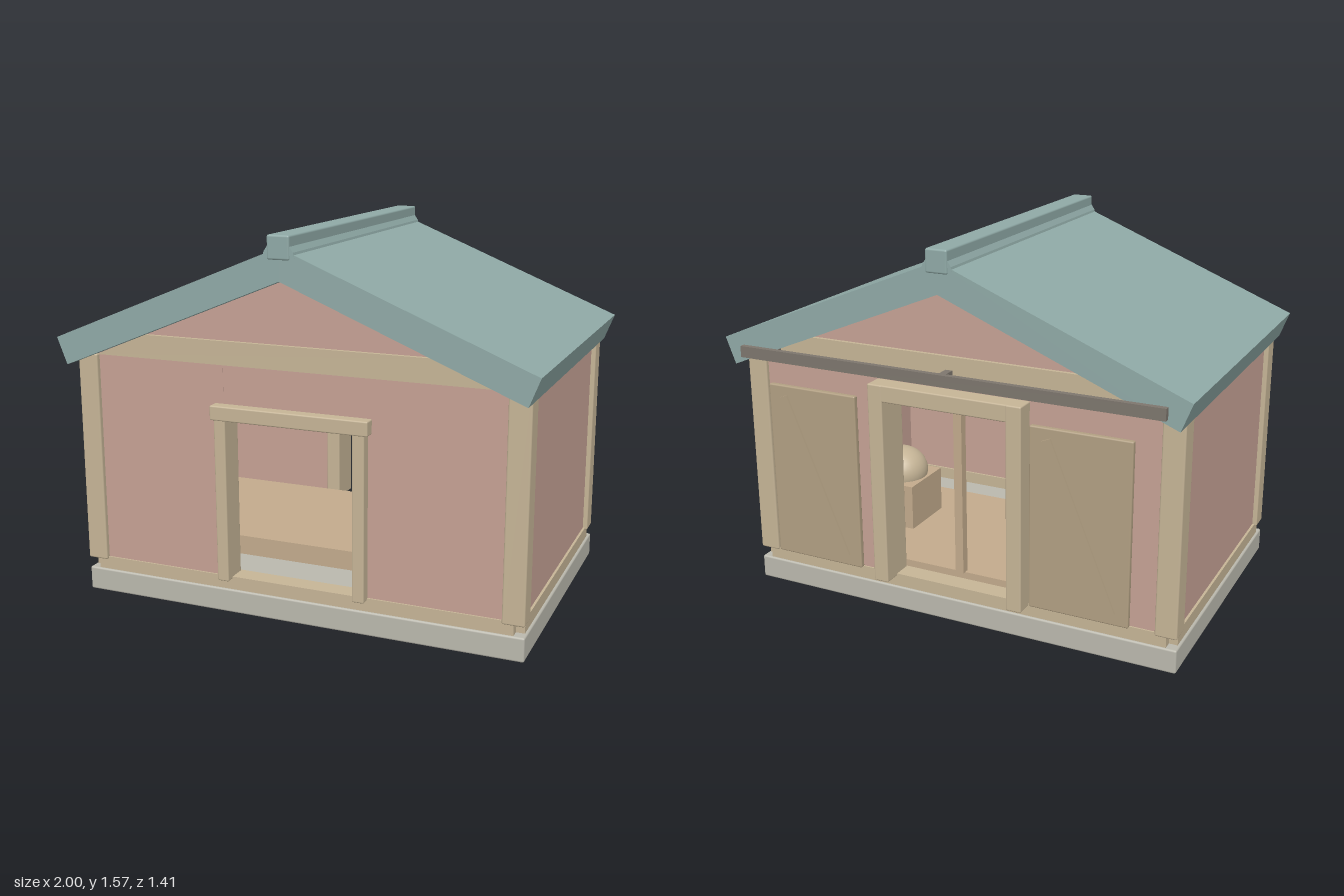
import * as THREE from 'three';
import { RoundedBoxGeometry } from 'three/addons/geometries/RoundedBoxGeometry.js';

const mat = (name, color) => Object.assign(new THREE.MeshStandardMaterial({ color }), { name });

export function createModel() {
  const model = new THREE.Group();
  model.name = 'shed';
  const roofTeal = mat('roofTeal', 0x8fa9a6);
  const wallPink = mat('wallPink', 0xc5a194);
  const trimTan = mat('trimTan', 0xc5b496);
  const floorTan = mat('floorTan', 0xc2aa8c);
  const doorTan = mat('doorTan', 0xb19f82);
  const stone = mat('stone', 0xbab8ad);
  const railGrey = mat('railGrey', 0x7d766d);

  function add(name, geometry, material, parent = model) {
    const mesh = new THREE.Mesh(geometry, material);
    mesh.name = name;
    parent.add(mesh);
    return mesh;
  }

  // Box given by its extents; a radius above zero softens the edges
  function box(name, material, x0, x1, y0, y1, z0, z1, radius = 0, parent = model) {
    const size = [x1 - x0, y1 - y0, z1 - z0];
    const geometry = radius ? new RoundedBoxGeometry(...size, 2, radius) : new THREE.BoxGeometry(...size);
    const mesh = add(name, geometry, material, parent);
    mesh.position.set((x0 + x1) / 2, (y0 + y1) / 2, (z0 + z1) / 2);
    return mesh;
  }

  // Outline in x and y, extruded between two depths
  function slab(name, material, points, z0, z1) {
    const shape = new THREE.Shape(points.map(([x, y]) => new THREE.Vector2(x, y)));
    const mesh = add(name, new THREE.ExtrudeGeometry(shape, { depth: z1 - z0, bevelEnabled: false }), material);
    mesh.position.z = z0;
    return mesh;
  }

  // Underside of the roof at a given x
  const under = (x) => 1.395 - 0.408 * Math.abs(x);

  // Foundation, sills and raised floor
  box('foundation', stone, -0.955, 0.955, 0, 0.1, -0.605, 0.62, 0.008);
  box('frontSill', trimTan, -0.91, 0.91, 0.1, 0.155, 0.53, 0.612);
  box('backSill', trimTan, -0.91, 0.91, 0.1, 0.155, -0.597, -0.515);
  box('floorPlatform', floorTan, -0.86, 0.86, 0.1, 0.185, -0.515, 0.24);

  for (const s of [-1, 1]) {
    const side = (name, m, a, b, ...rest) => box(name, m, Math.min(s * a, s * b), Math.max(s * a, s * b), ...rest);

    // Side walls, sills and corner posts
    side('sideSill', trimTan, 0.86, 0.945, 0.1, 0.155, -0.56, 0.575);
    side('sideWall', wallPink, 0.865, 0.935, 0.155, under(0.935) + 0.02, -0.56, 0.575);
    side('frontCornerPost', trimTan, 0.865, 0.955, 0.145, 1.04, 0.535, 0.625, 0.007);
    side('backCornerPost', trimTan, 0.865, 0.955, 0.145, 1.04, -0.607, -0.515, 0.007);

    // Front and back wall panels beside the openings
    side('frontWallPanel', wallPink, 0.295, 0.9, 0.155, 1.045, 0.54, 0.605);
    side('backWallPanel', wallPink, 0.295, 0.9, 0.155, 1.045, -0.59, -0.525);

    // Door frames
    side('frontJamb', trimTan, 0.27, 0.32, 0.145, 0.83, 0.535, 0.648, 0.006);
    side('backJamb', trimTan, 0.27, 0.335, 0.145, 1.0, -0.67, -0.515, 0.006);

    // Sliding door with its diagonal brace
    const door = new THREE.Group();
    door.name = 'slidingDoor';
    door.position.set(s * 0.585, 0.572, -0.682);
    model.add(door);
    box('doorPanel', doorTan, -0.205, 0.205, -0.372, 0.373, -0.012, 0.012, 0.006, door);
    const brace = box('doorBrace', doorTan, -0.02, 0.02, -0.355, 0.355, -0.022, -0.01, 0, door);
    brace.rotation.z = -0.39;
  }

  // Lintels, wall above the front opening and the centre pole
  box('frontHeaderPanel', wallPink, -0.295, 0.295, 0.85, 1.045, 0.54, 0.604);
  box('frontLintel', trimTan, -0.335, 0.335, 0.82, 0.88, 0.535, 0.652, 0.006);
  box('backLintel', trimTan, -0.335, 0.335, 0.93, 1.0, -0.668, -0.515, 0.006);
  box('backHeaderPanel', wallPink, -0.295, 0.295, 0.98, 1.045, -0.59, -0.525);
  box('centrePole', floorTan, -0.018, 0.018, 0.195, 0.94, -0.548, -0.512);

  // Gables with their tie beams, one for each end
  const gable = [[-0.9, 1.03], [0.9, 1.03], [0, under(0) + 0.01]];
  const beam = [[-0.865, 1.04], [0.865, 1.04], [0.635, 1.136], [-0.635, 1.136]];
  slab('frontGable', wallPink, gable, 0.54, 0.605);
  slab('backGable', wallPink, gable, -0.59, -0.525);
  slab('frontTieBeam', trimTan, beam, 0.53, 0.622);
  slab('backTieBeam', trimTan, beam, -0.606, -0.515);

  // Roof and ridge cap
  slab('roof', roofTeal, [
    [-0.957, 1.005], [0, 1.395], [0.957, 1.005], [1, 1.115], [0, 1.521], [-1, 1.115],
  ], -0.685, 0.7);
  slab('ridgeFlashing', roofTeal, [
    [-0.065, 1.485], [0.065, 1.485], [0.06, 1.505], [0.04, 1.535], [-0.04, 1.535], [-0.06, 1.505],
  ], -0.686, 0.701);
  box('ridgeCap', roofTeal, -0.046, 0.046, 1.475, 1.568, -0.692, 0.706, 0.008);

  // Door rail
  box('doorRail', railGrey, -0.91, 0.91, 1.045, 1.092, -0.708, -0.685);
  for (const x of [-0.8, 0, 0.8]) {
    box('railBracket', railGrey, x - 0.015, x + 0.015, 1.055, 1.082, -0.69, -0.6);
  }

  // Box with a rounded cushion inside
  box('innerBox', floorTan, 0.4, 0.66, 0.185, 0.385, -0.24, 0.02);
  const cushion = add('cushion', new THREE.SphereGeometry(0.12, 32, 12, 0, Math.PI * 2, 0, Math.PI * 0.62), trimTan);
  cushion.position.set(0.53, 0.405, -0.11);
  cushion.scale.y = 0.9;

  return model;
}
